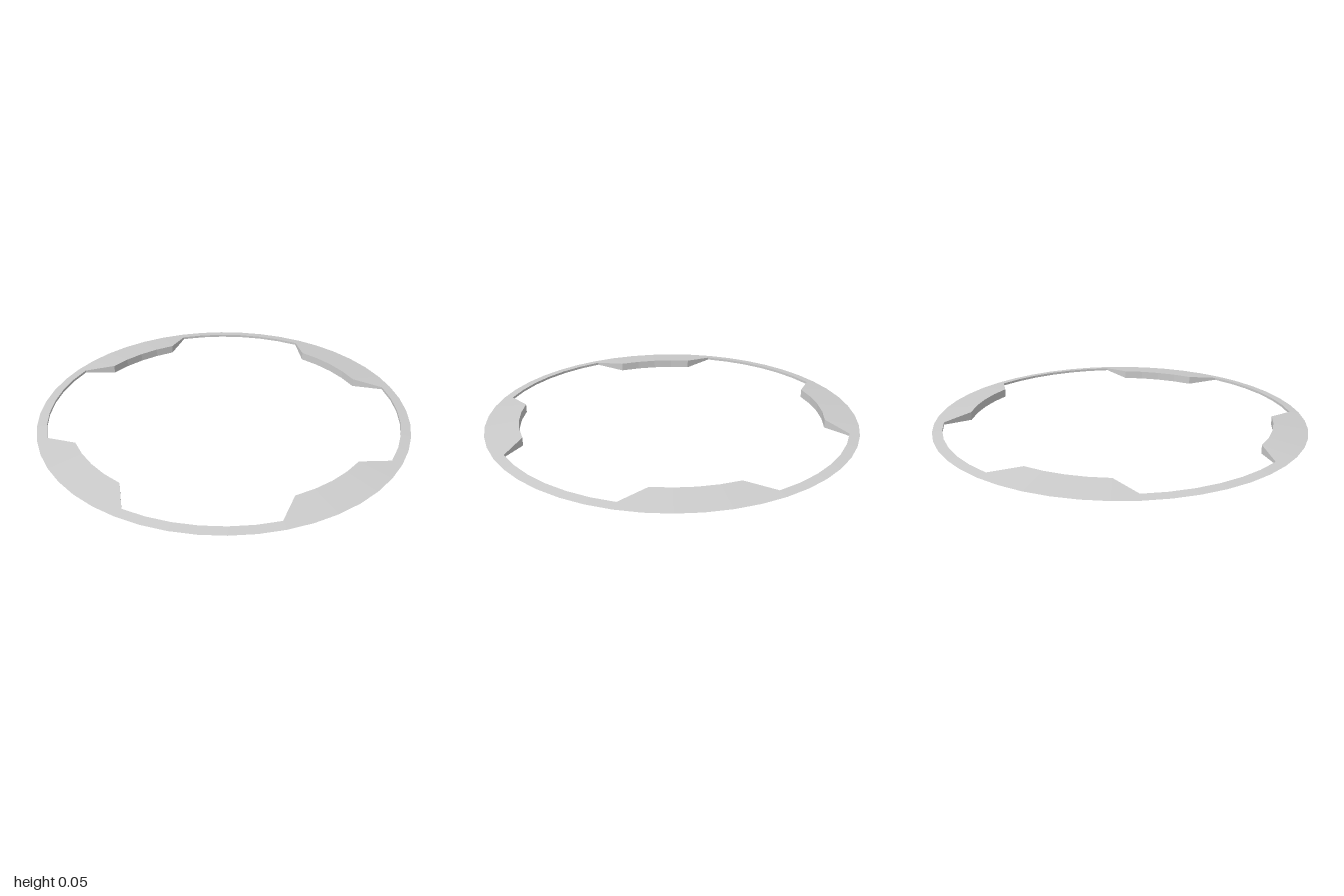
import * as THREE from 'three';

const SEGMENTS = 48;      // sides of the ring
const PER_QUARTER = 12;   // one tooth in each quarter
const RIM = 0.947;        // inner radius between teeth
const TOOTH = 0.82;       // inner radius at a tooth
const MID = 0.0225;       // height of the sharp outer edge
const SLOPE = MID / (1 - TOOTH);

// Wedge-shaped cross-section: sharp outer edge, upper and lower inner edges
function section(i) {
  const a = (i / SEGMENTS) * Math.PI * 2;
  const r = i % PER_QUARTER <= 4 ? TOOTH : RIM;
  const h = (1 - r) * SLOPE;
  const at = (radius, y) => [Math.sin(a) * radius, y, Math.cos(a) * radius];
  return [at(1, MID), at(r, MID + h), at(r, MID - h)];
}

export function createModel() {
  const positions = [];
  for (let i = 0; i < SEGMENTS; i++) {
    const s = section(i);
    const t = section((i + 1) % SEGMENTS);
    // Upper slope, inner wall, lower slope
    for (let k = 0; k < 3; k++) {
      const n = (k + 1) % 3;
      positions.push(...s[k], ...t[k], ...t[n], ...s[k], ...t[n], ...s[n]);
    }
  }
  const geometry = new THREE.BufferGeometry();
  geometry.setAttribute('position', new THREE.Float32BufferAttribute(positions, 3));
  geometry.computeVertexNormals();

  const ring = new THREE.Mesh(
    geometry,
    new THREE.MeshStandardMaterial({ color: 0xcccccc, flatShading: true })
  );
  ring.name = 'toothedRing';

  const model = new THREE.Group();
  model.name = 'bladedRing';
  model.add(ring);
  return model;
}
